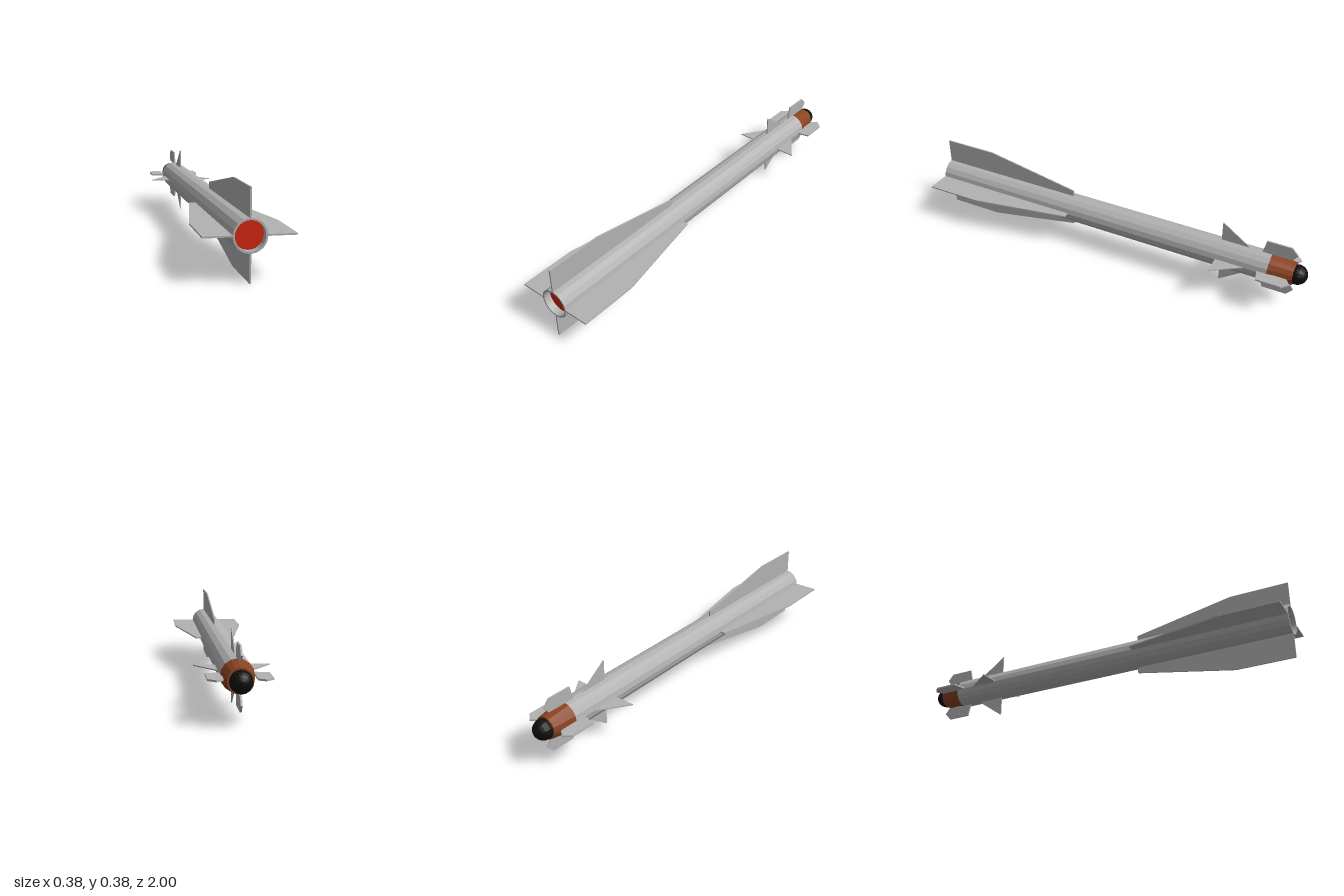
import * as THREE from 'three';

const AXIS_Y = 0.19;

function material(name, color) {
  const m = new THREE.MeshStandardMaterial({ color });
  m.name = name;
  return m;
}

// Flat facets without touching the material
function faceted(geometry) {
  const g = geometry.index ? geometry.toNonIndexed() : geometry;
  g.computeVertexNormals();
  return g;
}

// Turned part along z from [radius, z] pairs
function turned(profile, sides) {
  const points = profile.map(([r, z]) => new THREE.Vector2(r, z));
  return faceted(new THREE.LatheGeometry(points, sides).rotateX(Math.PI / 2));
}

// Flat plate in the x-z plane from [radius, z] pairs
function plate(outline, thickness) {
  const shape = new THREE.Shape(outline.map(([r, z]) => new THREE.Vector2(r, z)));
  return new THREE.ExtrudeGeometry(shape, { depth: thickness, bevelEnabled: false })
    .translate(0, 0, -thickness / 2)
    .rotateX(Math.PI / 2);
}

export function createModel() {
  const grey = material('light grey', 0xb2b2b2);
  const brown = material('brown', 0x8b4220);
  const black = material('black', 0x0e0e0e);
  const red = material('red', 0xd0240f);

  const root = new THREE.Group();
  root.name = 'rocket';
  const add = (name, geometry, mat, parent = root) => {
    const mesh = new THREE.Mesh(geometry, mat);
    mesh.name = name;
    parent.add(mesh);
    return mesh;
  };

  // Body tube
  add('bodyTube', turned([[0.071, -0.825], [0.071, 1]], 16), grey);

  // Rear rim, nozzle wall and glowing exhaust disc
  const rim = new THREE.Shape();
  for (let i = 0; i < 16; i++) {
    const a = (i / 16) * Math.PI * 2;
    rim[i ? 'lineTo' : 'moveTo'](0.071 * Math.cos(a), 0.071 * Math.sin(a));
  }
  rim.holes.push(new THREE.Path().absarc(0, 0, 0.062, 0, Math.PI * 2, true));
  add('rearRim', new THREE.ShapeGeometry(rim, 16).translate(0, 0, 1), grey);
  add('nozzleWall', turned([[0.062, 1], [0.062, 0.965]], 32), grey);
  add('exhaustDisc', new THREE.CircleGeometry(0.062, 32).translate(0, 0, 0.966), red);

  // Tapered nose collar and seeker dome
  add('noseCollar', turned([[0, -0.94], [0.054, -0.94], [0.071, -0.825]], 16), brown);
  add('noseDome', faceted(new THREE.SphereGeometry(0.048, 16, 12).rotateX(Math.PI / 2))
    .translate(0, 0, -0.952), black);

  // Three sets of four fins around the axis
  const sets = [
    { name: 'tailFin', thickness: 0.007, x: 0, y: 0.001,
      outline: [[0.06, 0.23], [0.1, 0.23], [0.19, 0.72], [0.19, 1], [0.066, 1]] },
    { name: 'midFin', thickness: 0.005, x: -0.003, y: 0,
      outline: [[0.06, -0.725], [0.071, -0.715], [0.168, -0.575], [0.06, -0.575]] },
    { name: 'noseFin', thickness: 0.008, x: -0.003, y: 0.002,
      outline: [[0.068, -0.92], [0.099, -0.943], [0.133, -0.912], [0.133, -0.792], [0.068, -0.777]] },
  ];
  for (const { name, thickness, x, y, outline } of sets) {
    const group = new THREE.Group();
    group.name = name + 's';
    group.position.set(x, y, 0);
    const geometry = plate(outline, thickness);
    for (let i = 0; i < 4; i++) {
      add(name, geometry, grey, group).rotation.z = (i * Math.PI) / 2;
    }
    root.add(group);
  }

  root.position.y = AXIS_Y;
  const model = new THREE.Group();
  model.name = 'model';
  model.add(root);
  return model;
}
